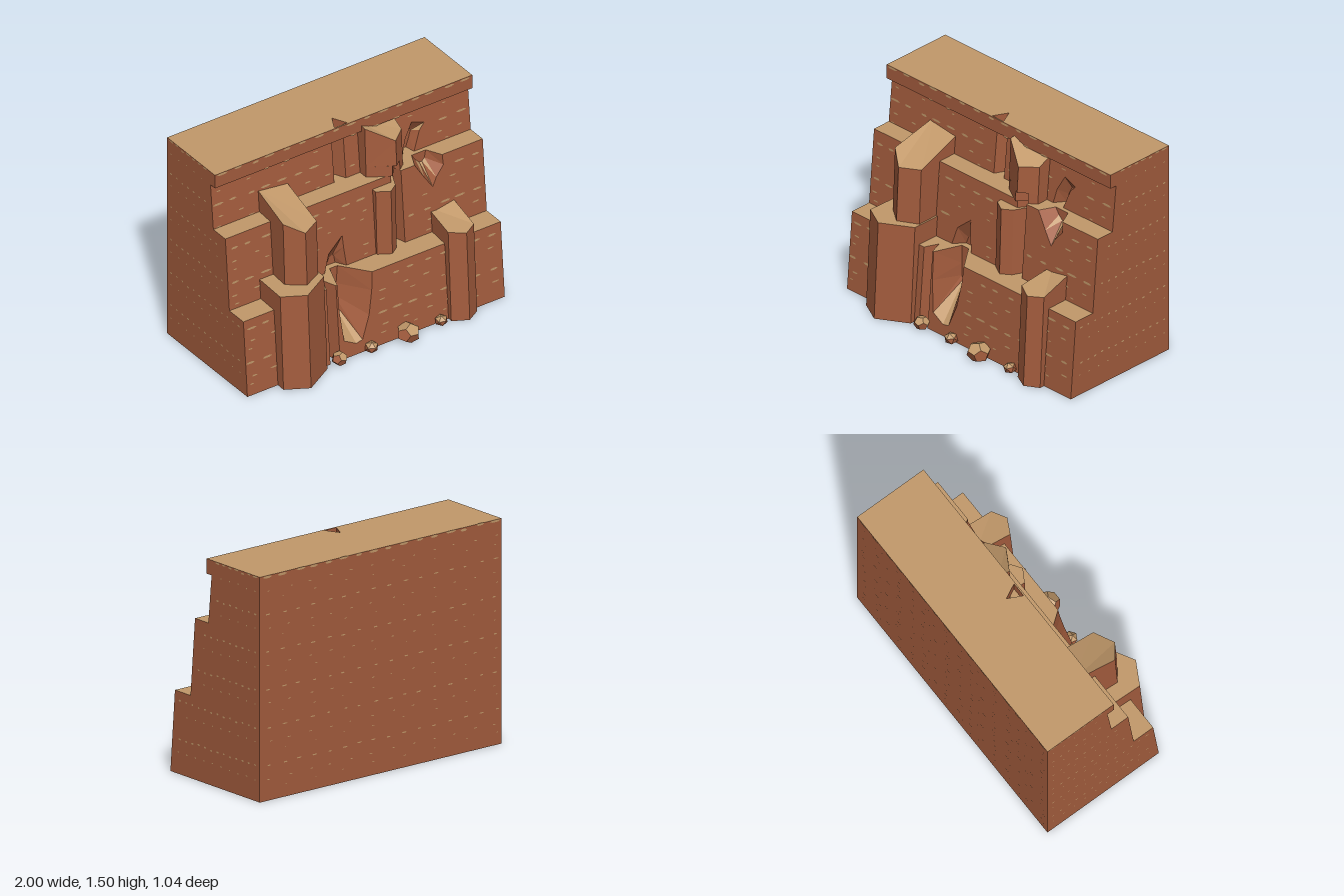
import * as THREE from 'three';
import { mergeGeometries } from 'three/addons/utils/BufferGeometryUtils.js';

const BACK = -0.52;

export function createModel() {
  const group = new THREE.Group();
  const rock = new THREE.MeshStandardMaterial({ color: 0xa35c3d });
  rock.name = 'red rock';
  const sand = new THREE.MeshStandardMaterial({ color: 0xc2996a });
  sand.name = 'sand';

  // Faceted mesh: upward faces are sand, the rest red rock
  function addRock(name, triangles) {
    const sides = [], tops = [];
    for (const t of triangles) {
      const n = new THREE.Triangle(...t).getNormal(new THREE.Vector3());
      (n.y > 0.6 ? tops : sides).push(...t);
    }
    const geo = new THREE.BufferGeometry().setFromPoints([...sides, ...tops]);
    geo.addGroup(0, sides.length, 0);
    geo.addGroup(sides.length, tops.length, 1);
    geo.computeVertexNormals();
    const mesh = new THREE.Mesh(geo, [rock, sand]);
    mesh.name = name;
    group.add(mesh);
    return mesh;
  }

  // Solid between loops a and b; flat is b's outline, counter-clockwise from outside
  function loft(name, a, b, flat) {
    const tris = [];
    for (const [i, j, k] of THREE.ShapeUtils.triangulateShape(flat, [])) {
      tris.push([b[i], b[j], b[k]], [a[i], a[k], a[j]]);
    }
    a.forEach((p, i) => {
      const j = (i + 1) % a.length;
      tris.push([p, a[j], b[j]], [p, b[j], b[i]]);
    });
    addRock(name, tris);
  }

  // Upright prism from a plan of [x, z, topY?], front leaning back
  function prism(name, plan, y0, y1, lean = 0) {
    let pts = plan;
    const flatten = (p) => p.map(([x, z]) => new THREE.Vector2(x, -z));
    if (THREE.ShapeUtils.isClockWise(flatten(pts))) pts = [...pts].reverse();
    const a = pts.map(([x, z]) => new THREE.Vector3(x, y0, z));
    const b = pts.map(([x, z, y]) => new THREE.Vector3(x, y ?? y1, z > -0.4 ? z - lean : z));
    loft(name, a, b, flatten(pts));
  }

  // Cliff slab, optionally split by a vertical wedge crack [left, apexX, apexZ, right]
  function slab(name, x0, x1, tier, crack) {
    const { y0, y1, z, lean } = tier;
    const plan = [[x0, BACK], [x1, BACK], [x1, z]];
    if (crack) plan.push([crack[3], z], [crack[1], crack[2]], [crack[0], z]);
    plan.push([x0, z]);
    prism(name, plan, y0, y1, lean);
  }

  // Cliff section with a hollow: outline [x, y, innerX, innerY], narrowing back to zb
  function hollow(name, tier, zb, outline) {
    const { y0, y1, z, lean } = tier;
    const b = outline.map(([x, y]) => new THREE.Vector3(x, y, z - lean * (y - y0) / (y1 - y0)));
    const a = outline.map(([x, y, u = x, v = y]) => new THREE.Vector3(u, v, zb));
    loft(name, a, b, outline.map(([x, y]) => new THREE.Vector2(x, y)));
    const xs = outline.map((p) => p[0]);
    const l = Math.min(...xs), r = Math.max(...xs);
    prism(name + 'Core', [[l, BACK], [r, BACK], [r, zb], [l, zb]], y0, y1);
  }

  const low = { y0: 0, y1: 0.55, z: 0.37, lean: 0.045 };
  const mid = { y0: 0.55, y1: 1.075, z: 0.17, lean: 0.045 };
  const high = { y0: 1.075, y1: 1.4, z: -0.008, lean: 0.032 };

  // Lower tier
  slab('lowerTierRight', -1, -0.275, low, [-0.355, -0.315, 0.275, -0.28]);
  hollow('lowerHollow', low, 0.14, [
    [-0.275, 0], [0.02, 0], [0.02, 0.55], [0, 0.55, -0.14, 0.55], [-0.01, 0.42, -0.15, 0.42],
    [-0.04, 0.25, -0.17, 0.34], [-0.1, 0.09, -0.18, 0.3], [-0.15, 0.08, -0.19, 0.3],
    [-0.24, 0.13, -0.2, 0.33], [-0.265, 0.35, -0.2, 0.42], [-0.27, 0.55, -0.2, 0.55], [-0.275, 0.55],
  ]);
  slab('lowerTierLeft', 0.02, 1, low);

  // Middle tier
  slab('middleTierRight', -1, -0.275, mid);
  hollow('lowerHollowRoof', mid, 0.1, [
    [-0.275, 0.55], [-0.26, 0.55, -0.2, 0.55], [-0.22, 0.68, -0.18, 0.6], [-0.11, 0.775, -0.15, 0.62],
    [-0.105, 0.69, -0.14, 0.6], [-0.09, 0.55, -0.13, 0.55], [0.02, 0.55], [0.02, 1.075], [-0.275, 1.075],
  ]);
  slab('middleTierCentre', 0.02, 0.46, mid, [0.285, 0.343, 0.08, 0.365]);
  hollow('upperHollow', mid, 0.02, [
    [0.46, 0.55], [0.7, 0.55], [0.7, 1.075], [0.685, 1.075, 0.63, 1.075], [0.69, 1.0, 0.62, 1.02],
    [0.63, 0.93, 0.6, 1.0], [0.6, 0.87, 0.58, 1.0], [0.54, 0.96, 0.55, 1.03],
    [0.47, 1.075, 0.52, 1.075], [0.46, 1.075],
  ]);
  slab('middleTierLeft', 0.7, 1, mid);

  // Upper tier
  slab('upperTierRight', -1, 0.46, high, [-0.06, -0.015, -0.1, 0.03]);
  hollow('upperHollowRoof', high, -0.08, [
    [0.46, 1.075], [0.47, 1.075, 0.52, 1.075], [0.495, 1.18, 0.54, 1.14], [0.555, 1.29, 0.57, 1.2],
    [0.65, 1.255, 0.58, 1.19], [0.61, 1.21, 0.57, 1.15], [0.56, 1.075, 0.545, 1.075],
    [0.68, 1.075], [0.68, 1.4], [0.46, 1.4],
  ]);
  slab('upperTierLeft', 0.68, 1, high);

  // Overhanging cap, the crack opening through its top
  slab('cap', -1, 1, { y0: 1.4, y1: 1.5, z: 0, lean: 0 }, [-0.065, -0.015, -0.1, 0.035]);
  prism('capLip', [[-1, 0], [1, 0], [1, 0.01], [-1, 0.01]], 1.4, 1.5);

  // Buttress columns
  prism('lowerRightColumn', [[-0.755, 0.14], [-0.765, 0.435], [-0.61, 0.52], [-0.4, 0.4], [-0.4, 0.14]], 0, 0.69, 0.037);
  prism('upperRightColumn', [
    [-0.64, -0.03, 1.235], [-0.66, 0.305, 1.14], [-0.545, 0.39, 1.075], [-0.41, 0.32, 1.08], [-0.415, -0.03, 1.21],
  ], 0.55, 1.1, 0.025);
  prism('leftColumn', [
    [0.58, 0.14, 0.705], [0.56, 0.405, 0.66], [0.665, 0.46, 0.645], [0.76, 0.405, 0.65], [0.755, 0.14, 0.735],
  ], 0, 0.65, 0.035);
  prism('highColumnFoot', [
    [0.14, -0.05], [0.14, 0.06], [0.285, 0.147], [0.343, 0.08], [0.365, 0.113], [0.415, 0.075], [0.415, -0.05],
  ], 1.075, 1.15, 0.004);
  prism('highColumn', [
    [0.14, -0.04, 1.455], [0.14, 0.056, 1.435], [0.31, 0.157, 1.335], [0.415, 0.071, 1.34], [0.415, -0.04, 1.395],
  ], 1.15, 1.4, 0.012);
  prism('middleColumn', [[0.14, 0.05], [0.14, 0.18], [0.225, 0.23], [0.29, 0.185], [0.34, 0.08], [0.3, 0.05]], 0.55, 1.02, 0.015);

  // Fallen rocks at the foot
  const rocks = [[-0.305, 0.045, 0.4, 0.055], [-0.05, 0.03, 0.39, 0.048], [0.22, 0.05, 0.415, 0.082], [0.485, 0.035, 0.4, 0.045]];
  rocks.forEach(([x, y, z, r], n) => {
    const geo = (n % 2 ? new THREE.IcosahedronGeometry(r) : new THREE.DodecahedronGeometry(r));
    geo.rotateY(n * 1.3 + 0.4).rotateX(0.3 + n * 0.5).scale(1, 0.85, 0.95).translate(x, y, z);
    const p = geo.attributes.position, tris = [];
    const at = (i) => {
      const v = new THREE.Vector3().fromBufferAttribute(p, i);
      v.y = Math.max(v.y, 0);
      return v;
    };
    for (let i = 0; i < p.count; i += 3) tris.push([at(i), at(i + 1), at(i + 2)]);
    addRock('fallenRock', tris);
  });

  // Sand flecks in horizontal strata on every wall
  let seed = 7;
  const rand = () => (seed = (seed * 16807) % 2147483647) / 2147483647;
  const flecks = [];
  const openings = [
    [-0.32, 0.05, 0.04, 0.8], [0.42, 0.74, 0.85, 1.31], [-0.4, -0.24, 0, 0.57],
    [0.24, 0.41, 0.53, 1.1], [-0.1, 0.07, 1.06, 1.4],
  ];
  const frontZ = (y) => {
    const t = [low, mid, high].find((s) => y < s.y1);
    return t ? t.z - t.lean * (y - t.y0) / (t.y1 - t.y0) : 0.01;
  };
  const fleck = (w, h, turn, x, y, z) =>
    flecks.push(new THREE.CircleGeometry(1, 6).scale(w, h, 1).rotateY(turn).translate(x, y, z));
  for (let base = 0.235; base < 1.5; base += 0.251) {
    for (const [dy, step, size] of [[0, 0.125, 1], [-0.09, 0.17, 0.7], [-0.15, 0.25, 0.55]]) {
      const y = base + dy;
      for (let x = -0.95; x < 0.97; x += step) {
        const u = x + (rand() - 0.5) * 0.03, v = y + (rand() - 0.5) * 0.012;
        const w = (0.025 + rand() * 0.02) * size, h = 0.009 * size;
        const open = openings.some(([l, r, b, t]) => u > l && u < r && v > b && v < t);
        if (!open) fleck(w, h, 0, u, v, frontZ(v) + 0.004);
        const edge = base > 1.4 && dy === 0 ? 1 : 0.5;
        fleck(w * edge, h * edge, Math.PI, u, v, BACK - 0.002);
        const s = x * 0.5;
        if (s < frontZ(v) - 0.05 && dy > -0.1) {
          fleck(w * 0.6 * edge, h * 0.7, Math.PI / 2, 1.0015, v, s);
          fleck(w * 0.6 * edge, h * 0.7, -Math.PI / 2, -1.0015, v, s);
        }
      }
    }
  }
  const strata = new THREE.Mesh(mergeGeometries(flecks), sand);
  strata.name = 'sandFlecks';
  group.add(strata);

  return group;
}
